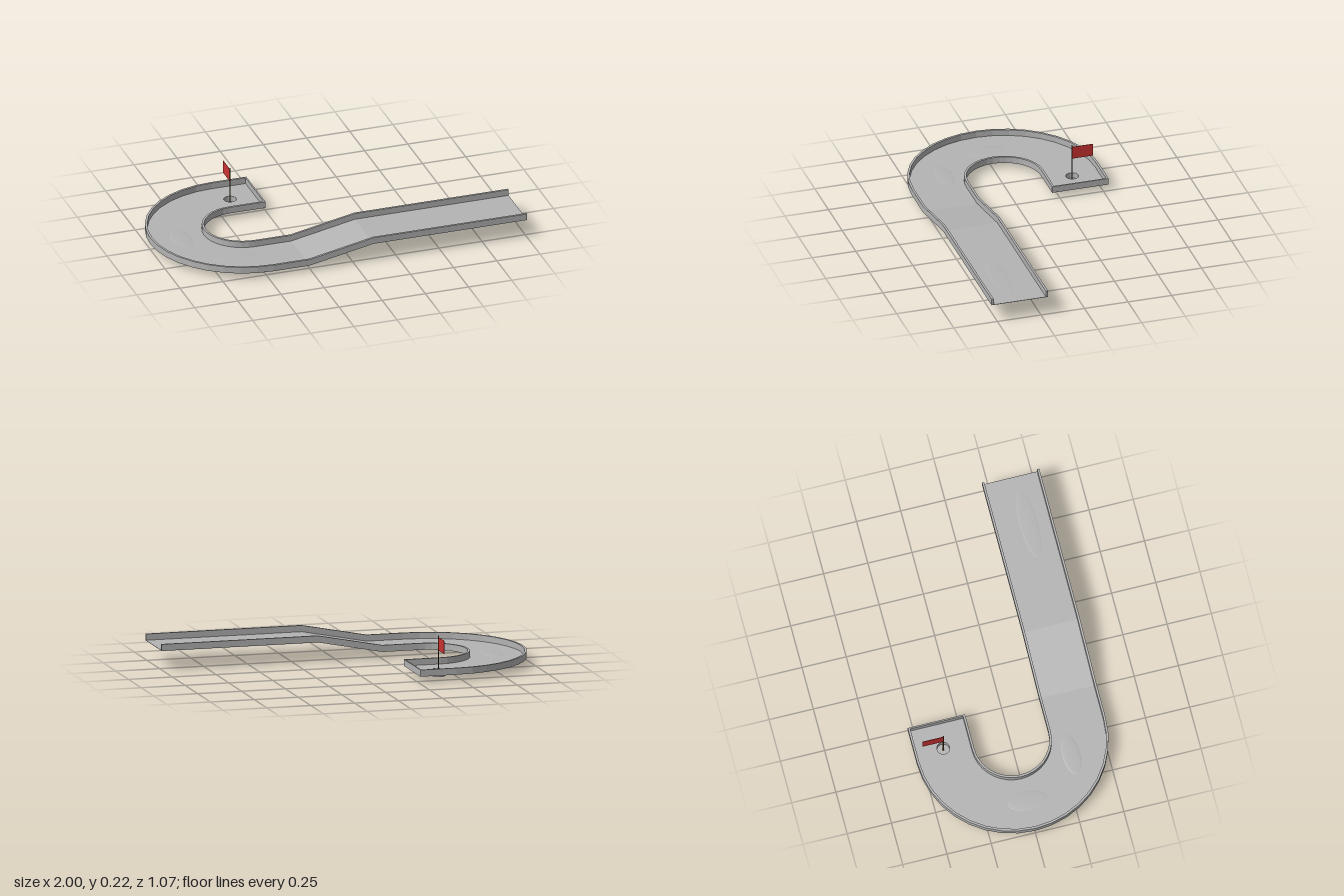
import * as THREE from 'three';

const BASE = 0.033, RISE = 0.073, WALL = 0.037, SLAB = 0.002;
const R_IN = 0.209, R_OUT = 0.533, RAIL = 0.0125;
const BEND_X = -0.467, END_X = -0.26, RAMP_X = 0.11;
const HOLE = { x: -0.41, z: -0.37, r: 0.035 };

// Stations along the lane: each maps (distance from bend centre, height) to a point
function laneStations(includeTail) {
  const list = [];
  for (const [x, y] of [[1, BASE + RISE], [RAMP_X, BASE + RISE], [END_X, BASE]]) {
    list.push((r, h) => [x, y + h, r]);
  }
  const n = 18;
  for (let i = 0; i <= n; i++) {
    const a = (i / n) * Math.PI;
    list.push((r, h) => [BEND_X - r * Math.sin(a), BASE + h, r * Math.cos(a)]);
  }
  if (includeTail) list.push((r, h) => [END_X, BASE + h, -r]);
  return list;
}

// Sweep a rectangular section along the stations, with closed ends
function sweep(stations, r0, r1, h0, h1) {
  const corners = [[r0, h0], [r1, h0], [r1, h1], [r0, h1]];
  const rings = stations.map((s) => corners.map(([r, h]) => s(r, h)));
  const pos = [];
  const quad = (a, b, c, d) => [a, b, c, a, c, d].forEach((p) => pos.push(...p));
  for (let i = 0; i < rings.length - 1; i++) {
    for (let k = 0; k < 4; k++) {
      const m = (k + 1) % 4;
      quad(rings[i][k], rings[i][m], rings[i + 1][m], rings[i + 1][k]);
    }
  }
  const first = rings[0], last = rings[rings.length - 1];
  quad(first[3], first[2], first[1], first[0]);
  quad(last[0], last[1], last[2], last[3]);
  const g = new THREE.BufferGeometry();
  g.setAttribute('position', new THREE.Float32BufferAttribute(pos, 3));
  g.computeVertexNormals();
  return g;
}

export function createModel() {
  const group = new THREE.Group();
  group.name = 'miniGolfLane';
  const material = (name, color) => {
    const m = new THREE.MeshStandardMaterial({ color });
    m.name = name;
    return m;
  };
  const grey = material('laneGrey', 0xb4b4b4);
  grey.flatShading = true;
  const red = material('flagRed', 0xcc3333);
  const brown = material('poleBrown', 0x5a3e18);

  const add = (name, geometry, mat, x = 0, y = 0, z = 0) => {
    const mesh = new THREE.Mesh(geometry, mat);
    mesh.name = name;
    mesh.position.set(x, y, z);
    group.add(mesh);
    return mesh;
  };

  // Floor: swept lane plus a straight end piece with the hole cut out
  add('laneFloor', sweep(laneStations(false), R_IN, R_OUT, 0, SLAB), grey);
  const end = new THREE.Shape([
    new THREE.Vector2(BEND_X, -R_OUT), new THREE.Vector2(END_X, -R_OUT),
    new THREE.Vector2(END_X, -R_IN), new THREE.Vector2(BEND_X, -R_IN),
  ]);
  const cut = new THREE.Path();
  cut.absarc(HOLE.x, HOLE.z, HOLE.r, 0, Math.PI * 2, true);
  end.holes.push(cut);
  const endGeo = new THREE.ExtrudeGeometry(end, { depth: SLAB, bevelEnabled: false, curveSegments: 24 });
  endGeo.rotateX(Math.PI / 2);
  add('holeFloor', endGeo, grey, 0, BASE + SLAB, 0);

  // Side rails and the wall closing the hole end
  add('innerRail', sweep(laneStations(true), R_IN, R_IN + RAIL, 0, WALL), grey);
  add('outerRail', sweep(laneStations(true), R_OUT - RAIL, R_OUT, 0, WALL), grey);
  add('endWall', new THREE.BoxGeometry(0.008, WALL, R_OUT - R_IN - 0.01), grey,
    END_X - 0.004, BASE + WALL / 2, -(R_IN + R_OUT) / 2);

  // Shallow mounds in the floor
  const mounds = [
    [-0.82, 0, 0.055, 0.11, 0.0025, BASE],
    [-0.62, 0.3, 0.12, 0.05, 0.0025, BASE],
    [0.71, 0.4, 0.2, 0.05, 0.0015, BASE + RISE],
  ];
  for (const [x, z, rx, rz, h, y] of mounds) {
    const dome = new THREE.SphereGeometry(1, 16, 4, 0, Math.PI * 2, 0, Math.PI / 2);
    dome.scale(rx, h, rz);
    add('mound', dome, grey, x, y + SLAB, z);
  }

  // Cup under the hole, open at the top
  const cupProfile = [[0, 0], [0.037, 0], [0.037, BASE], [HOLE.r, BASE], [HOLE.r, 0.003], [0, 0.003]]
    .map(([x, y]) => new THREE.Vector2(x, y));
  add('cup', new THREE.LatheGeometry(cupProfile, 24), grey, HOLE.x, 0, HOLE.z);

  // Flag on its pole
  add('flagPole', new THREE.CylinderGeometry(0.003, 0.003, 0.222, 8), brown, HOLE.x, 0.114, HOLE.z);
  add('flag', new THREE.BoxGeometry(0.003, 0.072, 0.115), red, HOLE.x, 0.179, HOLE.z - 0.0605);

  return group;
}
